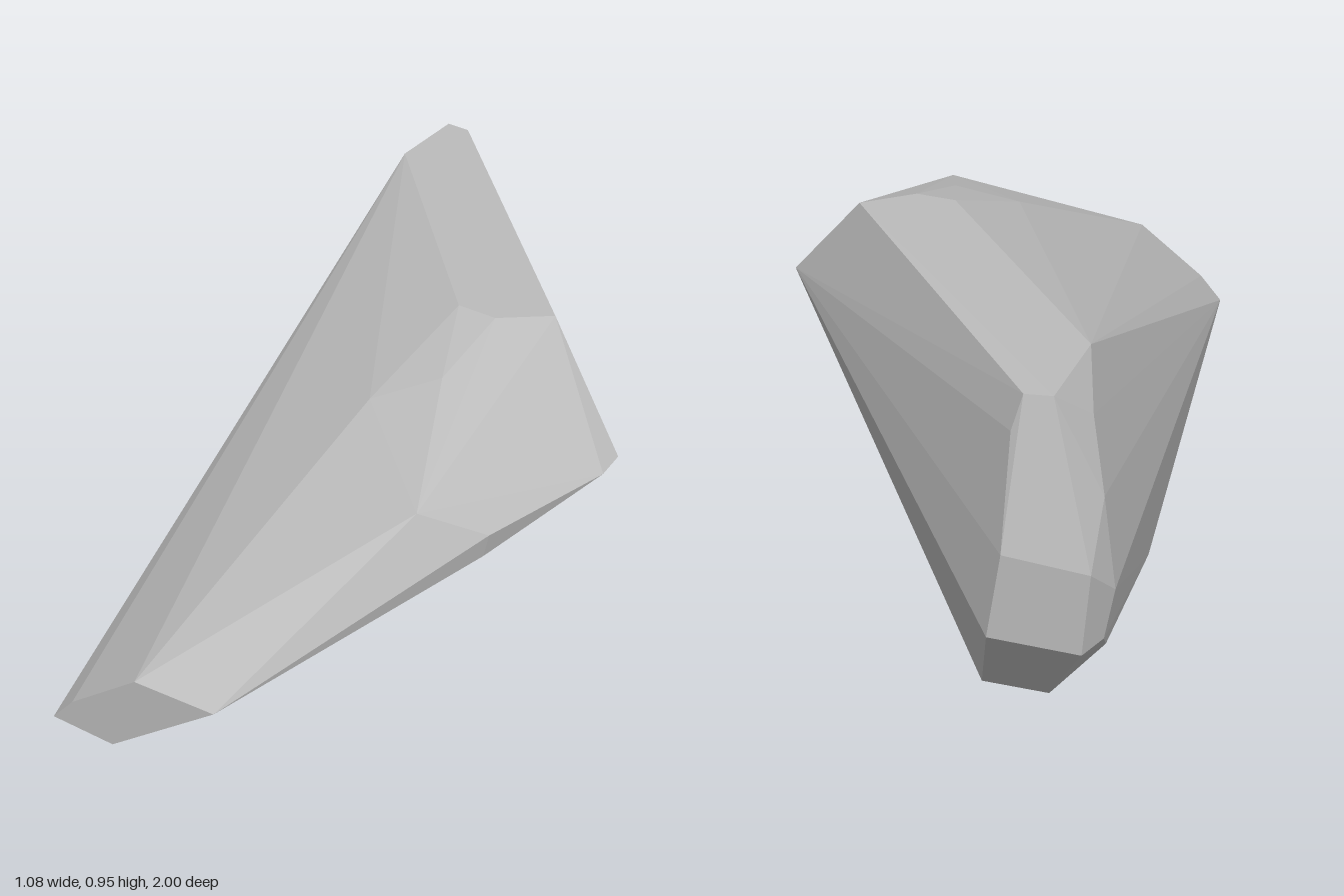
import * as THREE from 'three';
import { ConvexGeometry } from 'three/addons/geometries/ConvexGeometry.js';

// A faceted boulder: the convex hull of its corners.
export function createModel() {
  const group = new THREE.Group();
  group.name = 'rock';

  const stone = new THREE.MeshStandardMaterial({ color: 0xbcbcbc });
  stone.name = 'stone grey';

  // blunt front end
  const front = [
    [0.11, 0.515, 1], [-0.09, 0.515, 1], [-0.27, 0.38, 1], [-0.33, 0.312, 1], [-0.17, 0.303, 1],
  ];
  // narrow foot along the ground
  const foot = [
    [-0.37, 0.01, 0.07], [-0.235, 0, 0.06], [-0.24, 0, -0.02],
    [-0.18, 0.085, -0.67], [-0.336, 0.088, -0.67],
  ];
  // pointed shoulder on the left
  const shoulder = [
    [0.537, 0.705, 0], [0.537, 0.705, 0.08], [0.425, 0.705, 0.41], [0.412, 0.645, 0.41],
  ];
  // top slab and its sloping front
  const top = [
    [0.31, 0.948, -0.115], [0.31, 0.79, 0.52], [0.2, 0.953, -0.03], [0.1, 0.953, -0.04],
    [0.18, 0.9, 0.18], [0.04, 0.845, 0.26], [-0.415, 0.953, -0.68],
    [-0.41, 0.95, -0.91], [-0.35, 0.945, -0.91],
  ];
  // rounded rear end
  const rear = [
    [-0.46, 0.87, -0.81], [-0.505, 0.735, -0.88], [-0.54, 0.55, -0.91], [-0.525, 0.445, -0.93],
    [-0.495, 0.34, -0.8], [-0.33, 0.87, -0.925],
    [-0.515, 0.63, -1], [-0.5, 0.445, -1], [-0.305, 0.445, -1], [-0.335, 0.64, -1],
  ];

  const points = [...front, ...foot, ...shoulder, ...top, ...rear].map((p) => new THREE.Vector3(...p));
  const boulder = new THREE.Mesh(new ConvexGeometry(points), stone);
  boulder.name = 'boulder';
  group.add(boulder);
  return group;
}
